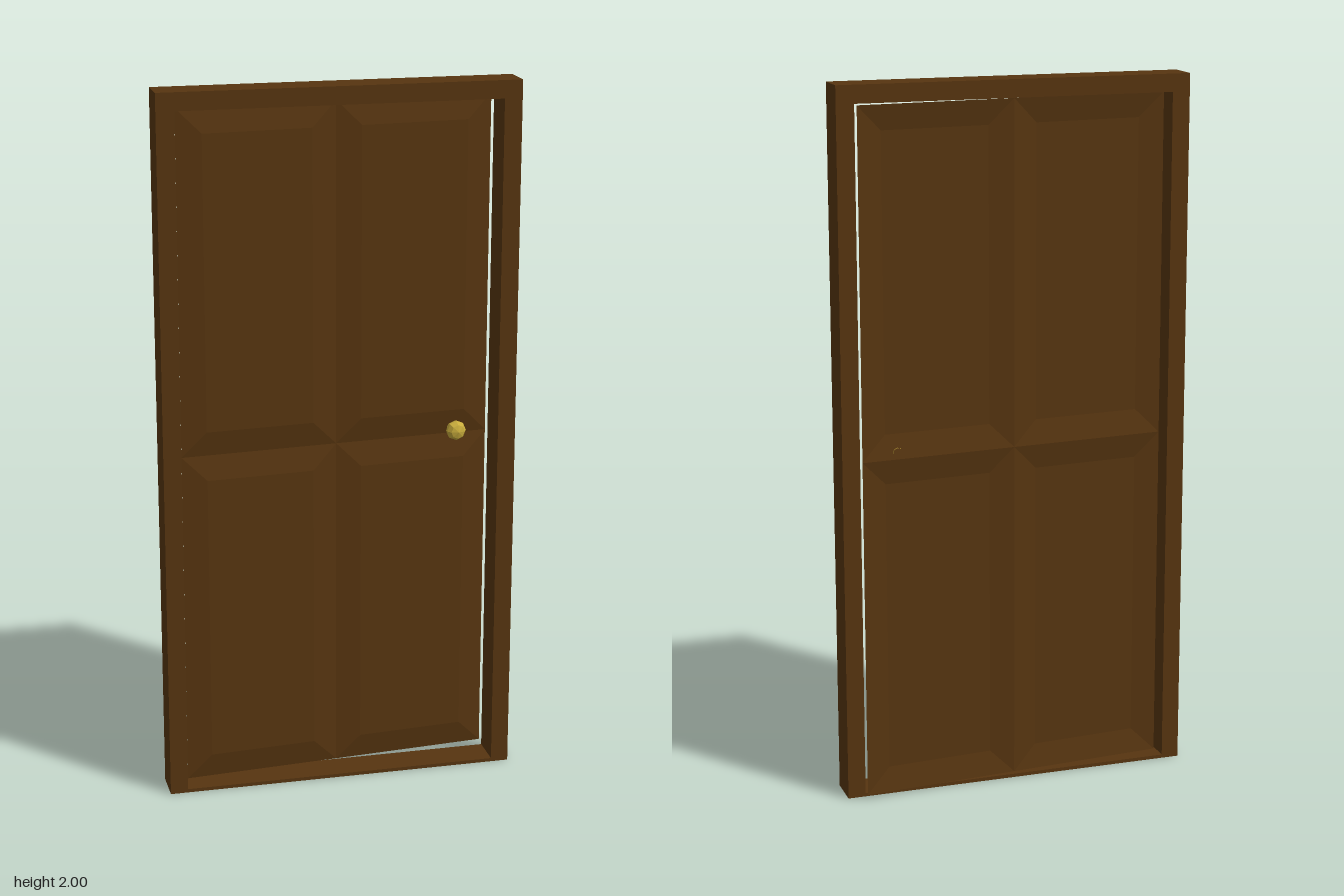
import * as THREE from 'three';

const wood = new THREE.MeshStandardMaterial({ color: 0x573510, name: 'darkWood', flatShading: true, side: THREE.DoubleSide });
const brass = new THREE.MeshStandardMaterial({ color: 0xc8ac3c, name: 'brass', flatShading: true });

// One pressed panel: a flat field raised above its outline by four bevels
function panelTriangles(x0, y0, x1, y1, bevel, raise) {
  const ring = (inset, z) => [
    [x0 + inset, y0 + inset, z], [x1 - inset, y0 + inset, z],
    [x1 - inset, y1 - inset, z], [x0 + inset, y1 - inset, z],
  ];
  const outer = ring(0, 0);
  const inner = ring(bevel, raise);
  const out = [];
  const quad = (a, b, c, d) => out.push(...a, ...b, ...c, ...a, ...c, ...d);
  quad(...inner);
  for (let i = 0; i < 4; i++) {
    const j = (i + 1) % 4;
    quad(outer[i], outer[j], inner[j], inner[i]);
  }
  return out;
}

export function createModel() {
  const model = new THREE.Group();
  model.name = 'doorway';

  // Frame: one block with the opening cut out, leaving a thin sill
  const outline = new THREE.Shape([
    new THREE.Vector2(-0.5, 0), new THREE.Vector2(0.5, 0),
    new THREE.Vector2(0.5, 2), new THREE.Vector2(-0.5, 2),
  ]);
  outline.holes.push(new THREE.Path([
    new THREE.Vector2(-0.45, 0.01), new THREE.Vector2(-0.45, 1.95),
    new THREE.Vector2(0.45, 1.95), new THREE.Vector2(0.45, 0.01),
  ]));
  const frameGeo = new THREE.ExtrudeGeometry(outline, { depth: 0.1, bevelEnabled: false });
  frameGeo.translate(0, 0, -0.037);
  const frame = new THREE.Mesh(frameGeo, wood);
  frame.name = 'frame';
  model.add(frame);

  // Door leaf, slightly ajar: its group turns about the hinge edge
  const door = new THREE.Group();
  door.name = 'door';
  door.position.set(-0.44, 0.015, 0.003);
  door.rotation.y = 0.075;
  model.add(door);

  // Four panels in a thin sheet, raised at the front and hollow behind
  const width = 0.893, height = 1.934;
  for (const row of [0, 1]) {
    for (const col of [0, 1]) {
      const x = col * width / 2, y = row * height / 2;
      const geo = new THREE.BufferGeometry();
      geo.setAttribute('position', new THREE.Float32BufferAttribute(
        panelTriangles(x, y, x + width / 2, y + height / 2, 0.07, 0.012), 3));
      geo.computeVertexNormals();
      const panel = new THREE.Mesh(geo, wood);
      panel.name = (row ? 'upper' : 'lower') + (col ? 'Left' : 'Right') + 'Panel';
      door.add(panel);
    }
  }

  // Faceted knob on a short stem
  const profile = [[0.014, 0.001], [0.014, 0.018], [0.022, 0.022], [0.028, 0.034],
    [0.028, 0.044], [0.02, 0.058], [0, 0.064]].map(([r, h]) => new THREE.Vector2(r, h));
  const knob = new THREE.Mesh(new THREE.LatheGeometry(profile, 8), brass);
  knob.name = 'knob';
  knob.rotation.x = Math.PI / 2;
  knob.position.set(0.79, 0.985, 0);
  door.add(knob);

  return model;
}
